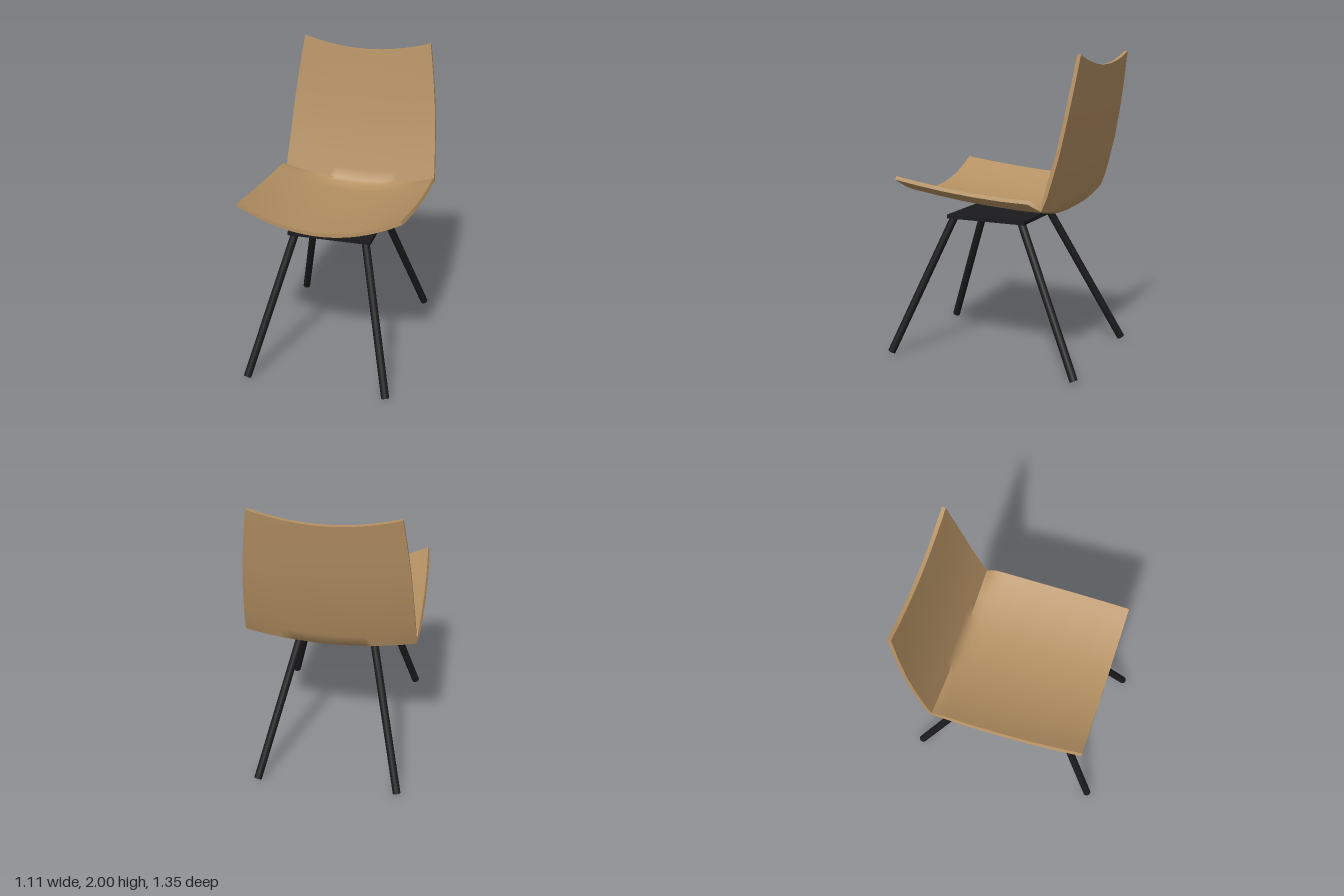
import * as THREE from 'three';
import { toCreasedNormals } from 'three/addons/utils/BufferGeometryUtils.js';

const wood = new THREE.MeshStandardMaterial({ color: 0xb59163 });
wood.name = 'wood';
const black = new THREE.MeshStandardMaterial({ color: 0x1b1b1d });
black.name = 'black metal';

// Shell sections, seat front to backrest top: z, edge height, rise from middle to edge, half width
const SECTIONS = [
  [0.56, 1.22, 0.142, 0.517], [0.4, 1.197, 0.141, 0.527], [0.2, 1.172, 0.14, 0.536],
  [0, 1.153, 0.138, 0.541], [-0.2, 1.14, 0.137, 0.543], [-0.32, 1.137, 0.137, 0.542],
  [-0.38, 1.134, 0.132, 0.541], [-0.415, 1.117, 0.1, 0.54], [-0.447, 1.097, 0.062, 0.538],
  [-0.468, 1.17, 0.063, 0.534], [-0.493, 1.26, 0.065, 0.528], [-0.535, 1.42, 0.067, 0.516],
  [-0.571, 1.6, 0.069, 0.5], [-0.605, 1.8, 0.07, 0.475], [-0.635, 2, 0.07, 0.445],
];
const COLS = 24, THICKNESS = 0.025;

function shellGeometry() {
  const rows = SECTIONS.length;
  const inner = SECTIONS.map(([z, edge, rise, half]) =>
    Array.from({ length: COLS + 1 }, (_, j) => {
      const t = (j / COLS) * 2 - 1;
      return new THREE.Vector3(t * half, edge - rise * (1 - t * t), z);
    }));

  // The underside is the upper surface pushed along its normal
  const outer = inner.map((row, i) => row.map((p, j) => {
    const du = row[Math.min(j + 1, COLS)].clone().sub(row[Math.max(j - 1, 0)]);
    const dv = new THREE.Vector3();
    if (i > 0) dv.add(p.clone().sub(inner[i - 1][j]).normalize());
    if (i < rows - 1) dv.add(inner[i + 1][j].clone().sub(p).normalize());
    const n = du.cross(dv).normalize();
    if (i === 0) n.z = 0;
    if (i === rows - 1) n.y = 0;
    return p.clone().addScaledVector(n, -THICKNESS);
  }));

  const pos = [];
  const quad = (a, b, c, d) => [a, b, c, a, c, d].forEach((v) => pos.push(v.x, v.y, v.z));
  for (let i = 0; i < rows - 1; i++) {
    for (let j = 0; j < COLS; j++) {
      quad(inner[i][j], inner[i][j + 1], inner[i + 1][j + 1], inner[i + 1][j]);
      quad(outer[i][j], outer[i + 1][j], outer[i + 1][j + 1], outer[i][j + 1]);
    }
  }

  // Rim between both surfaces
  const wall = (i, j, k, l) => quad(inner[k][l], inner[i][j], outer[i][j], outer[k][l]);
  for (let j = 0; j < COLS; j++) {
    wall(0, j, 0, j + 1);
    wall(rows - 1, j + 1, rows - 1, j);
  }
  for (let i = 0; i < rows - 1; i++) {
    wall(i, COLS, i + 1, COLS);
    wall(i + 1, 0, i, 0);
  }

  const geometry = new THREE.BufferGeometry();
  geometry.setAttribute('position', new THREE.Float32BufferAttribute(pos, 3));
  return toCreasedNormals(geometry, 0.9);
}

function makeLeg(top, foot) {
  const axis = top.clone().sub(foot);
  const leg = new THREE.Mesh(new THREE.CylinderGeometry(0.026, 0.026, axis.length(), 16), black);
  leg.position.copy(top).add(foot).multiplyScalar(0.5);
  leg.quaternion.setFromUnitVectors(new THREE.Vector3(0, 1, 0), axis.normalize());
  return leg;
}

export function createModel() {
  const chair = new THREE.Group();
  chair.name = 'chair';

  const shell = new THREE.Mesh(shellGeometry(), wood);
  shell.name = 'seatShell';
  chair.add(shell);

  // Mounting plate under the seat
  const plate = new THREE.Mesh(new THREE.BoxGeometry(0.555, 0.025, 0.555), black);
  plate.name = 'mountingPlate';
  plate.position.set(0, 0.932, 0.047);
  chair.add(plate);

  // Four splayed legs
  for (const side of [1, -1]) {
    const name = side > 0 ? 'Left' : 'Right';
    const front = makeLeg(
      new THREE.Vector3(side * 0.235, 0.93, 0.288), new THREE.Vector3(side * 0.468, 0.012, 0.655));
    front.name = 'front' + name + 'Leg';
    const back = makeLeg(
      new THREE.Vector3(side * 0.235, 0.93, -0.19), new THREE.Vector3(side * 0.468, 0.012, -0.65));
    back.name = 'back' + name + 'Leg';
    chair.add(front, back);
  }
  return chair;
}
